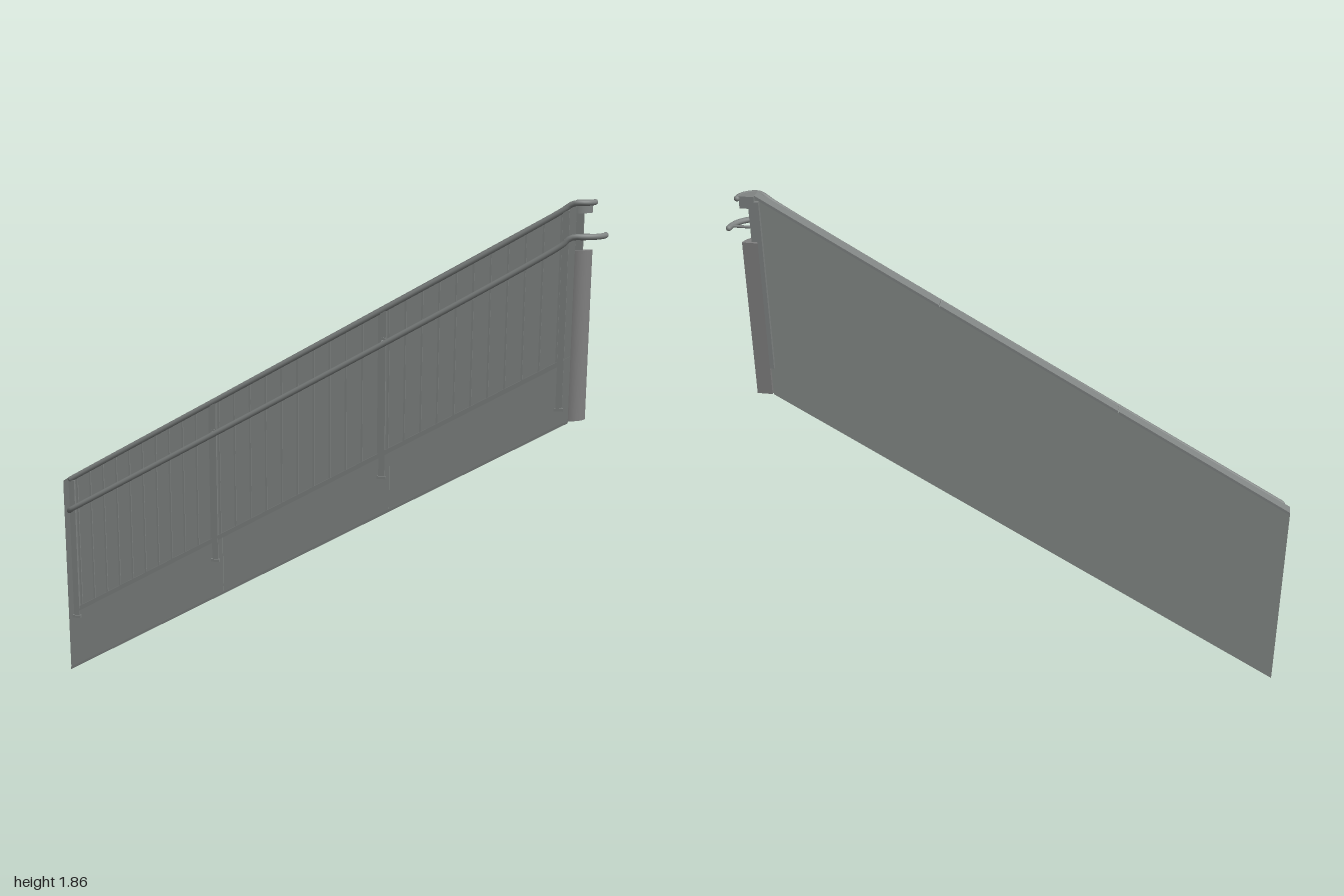
import * as THREE from 'three';

const SLOPE = 0.577;
const END = 0.885;          // x where the slope ends and the curved newel starts
const BACK = -0.055;        // z centre of the newel curves
const lift = (x, offset) => SLOPE * (x + 1) + offset;

export function createModel() {
  const root = new THREE.Group();
  const panelGrey = new THREE.MeshStandardMaterial({ color: 0x858a88 });
  const railGrey = new THREE.MeshStandardMaterial({ color: 0x808483 });
  const newelGrey = new THREE.MeshStandardMaterial({ color: 0x808080 });
  panelGrey.name = 'panelGrey';
  railGrey.name = 'railGrey';
  newelGrey.name = 'newelGrey';

  function add(name, geometry, material) {
    const mesh = new THREE.Mesh(geometry, material);
    mesh.name = name;
    root.add(mesh);
    return mesh;
  }

  // Parallelogram following the stair slope, between two offsets above its foot line
  function sloped(name, x0, x1, low, high, z0, z1, material) {
    const shape = new THREE.Shape([
      new THREE.Vector2(x0, lift(x0, low)), new THREE.Vector2(x1, lift(x1, low)),
      new THREE.Vector2(x1, lift(x1, high)), new THREE.Vector2(x0, lift(x0, high)),
    ]);
    const geometry = new THREE.ExtrudeGeometry(shape, { depth: z1 - z0, bevelEnabled: false });
    geometry.translate(0, 0, z0);
    return add(name, geometry, material);
  }

  function box(name, x0, x1, y0, y1, z0, z1, material) {
    const geometry = new THREE.BoxGeometry(x1 - x0, y1 - y0, z1 - z0);
    geometry.translate((x0 + x1) / 2, (y0 + y1) / 2, (z0 + z1) / 2);
    return add(name, geometry, material);
  }

  // Quarter of an upright cylinder, bulging to the front and +x
  function quarter(name, radius, y0, y1, material) {
    const shape = new THREE.Shape();
    shape.moveTo(0, 0);
    shape.lineTo(radius, 0);
    shape.absarc(0, 0, radius, 0, Math.PI / 2, false);
    shape.lineTo(0, 0);
    const geometry = new THREE.ExtrudeGeometry(shape, { depth: y1 - y0, bevelEnabled: false, curveSegments: 16 });
    geometry.rotateX(Math.PI / 2);
    geometry.translate(END, y1, BACK);
    add(name, geometry, material);
  }

  // Round rail through points, with closed ends
  function tube(name, points, radius) {
    const curve = new THREE.CatmullRomCurve3(points, false, 'centripetal');
    add(name, new THREE.TubeGeometry(curve, 160, radius, 12), railGrey);
    for (const p of [points[0], points[points.length - 1]]) {
      add(name + 'End', new THREE.SphereGeometry(radius, 12, 8), railGrey).position.copy(p);
    }
  }

  // Level quarter turn round the newel
  function turn(radius, y) {
    const points = [];
    for (let i = 0; i <= 8; i++) {
      const a = (i / 8) * Math.PI / 2;
      points.push(new THREE.Vector3(END + radius * Math.sin(a), y, BACK + radius * Math.cos(a)));
    }
    return points;
  }

  // Balustrade wall: full back panel, end stile, and front skirts with narrow joints
  sloped('wallPanel', -1, END, 0, 0.76, -0.042, -0.006, panelGrey);
  sloped('endStile', -1, -0.977, 0.2, 0.76, -0.006, 0, panelGrey);
  const joints = [-1, -0.37, 0.26, END];
  for (let i = 0; i < 3; i++) {
    const x0 = joints[i] + (i ? 0.002 : 0);
    const x1 = joints[i + 1] - (i < 2 ? 0.002 : 0);
    sloped('skirt', x0, x1, 0, 0.235, -0.006, 0, panelGrey);
    sloped('coping', x0, x1, 0.755, 0.766, -0.044, -0.004, railGrey);
  }
  sloped('footTrim', -1, END, 0, 0.01, -0.006, 0.002, railGrey);

  // Posts with handrail brackets
  const posts = [[-0.965, 0.22], [-0.4, 0.49], [0.23, 0.85], [0.852, 1.13]];
  for (const [x, foot] of posts) {
    box('post', x - 0.011, x + 0.011, foot, lift(x, 0.75), -0.006, 0.006, railGrey);
    box('postFoot', x - 0.016, x + 0.016, foot, foot + 0.01, -0.006, 0.011, railGrey);
    if (x < -0.9) continue;
    const bracket = add('handrailBracket', new THREE.CylinderGeometry(0.005, 0.005, 0.036, 10), railGrey);
    bracket.rotation.x = Math.PI / 2;
    bracket.position.set(x, lift(x, 0.643), 0.022);
    const plate = add('bracketPlate', new THREE.CylinderGeometry(0.013, 0.013, 0.004, 12), railGrey);
    plate.rotation.x = Math.PI / 2;
    plate.position.set(x, lift(x, 0.643), 0.008);
  }

  // Infill frames and balusters between the posts
  for (let i = 0; i < 3; i++) {
    const x0 = posts[i][0] + 0.02;
    const x1 = posts[i + 1][0] - 0.015;
    sloped('bottomRail', x0 - 0.012, x1 + 0.008, 0.222, 0.24, -0.006, 0.005, railGrey);
    const count = 10;
    for (let k = 0; k <= count; k++) {
      const x = x0 + (x1 - x0) * k / count;
      sloped('baluster', x - 0.003, x + 0.003, 0.235, 0.755, -0.006, 0, railGrey);
    }
  }

  // Top rail and handrail, both sweeping round the newel
  tube('topRail', [
    new THREE.Vector3(-0.97, lift(-0.97, 0.758), 0),
    new THREE.Vector3(0.84, lift(0.84, 0.758), 0),
    new THREE.Vector3(0.865, 1.838, 0),
    ...turn(0.058, 1.845),
  ], 0.01);
  tube('handrail', [
    new THREE.Vector3(-0.967, lift(-0.967, 0.64), 0),
    new THREE.Vector3(-0.967, lift(-0.967, 0.64), 0.03),
    new THREE.Vector3(-0.962, lift(-0.962, 0.643), 0.039),
    new THREE.Vector3(-0.95, lift(-0.95, 0.643), 0.043),
    new THREE.Vector3(0.84, lift(0.84, 0.643), 0.043),
    new THREE.Vector3(0.867, 1.729, 0.043),
    ...turn(0.098, 1.735),
  ], 0.01);

  // Rounded newel with an inner post and a cap under the top rail
  quarter('newelColumn', 0.056, 1.095, 1.685, newelGrey);
  quarter('newelCap', 0.052, 1.81, 1.836, railGrey);
  quarter('newelTop', 0.058, 1.836, 1.853, railGrey);
  box('newelPost', 0.885, 0.91, 1.685, 1.812, -0.045, -0.008, railGrey);
  box('newelBackStrip', 0.87, 0.885, 1.2, 1.835, -0.055, -0.04, railGrey);
  const collar = add('handrailCollar', new THREE.CylinderGeometry(0.005, 0.005, 0.07, 10), railGrey);
  collar.rotation.z = Math.PI / 2;
  collar.position.set(0.945, 1.735, -0.035);

  return root;
}
